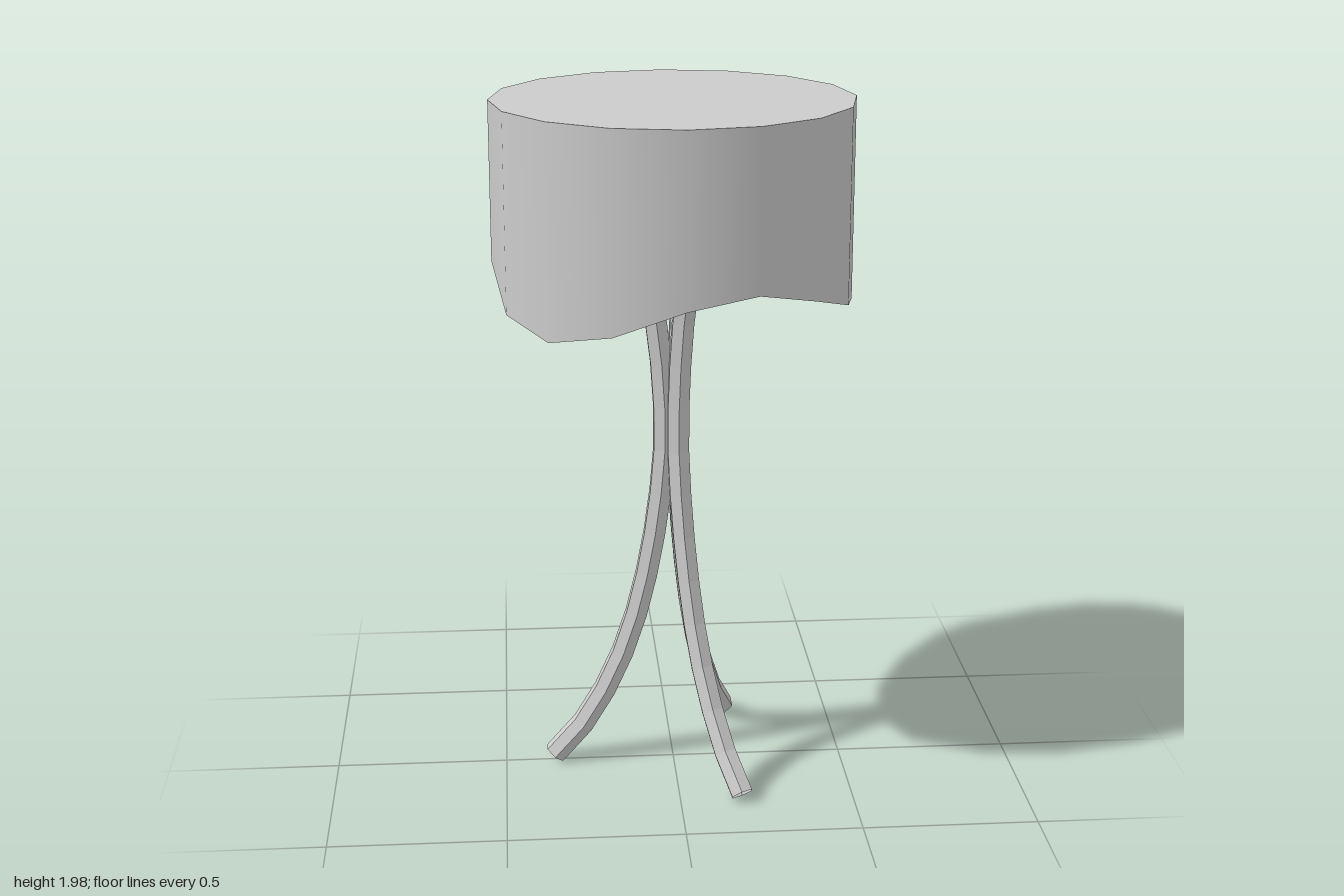
import * as THREE from 'three';

export function createModel() {
  const model = new THREE.Group();
  model.name = 'drapedPedestalTable';
  const clothMat = new THREE.MeshStandardMaterial({ color: 0xcccccc, side: THREE.DoubleSide });
  const legMat = new THREE.MeshStandardMaterial({ color: 0xcccccc, side: THREE.DoubleSide, flatShading: true });
  const SIDES = 16, RADIUS = 0.507, TOP = 2;

  // Flat table top
  const topGeo = new THREE.CircleGeometry(RADIUS, SIDES).rotateX(-Math.PI / 2).translate(0, TOP, 0);
  const top = new THREE.Mesh(topGeo, clothMat);
  top.name = 'tableTop';
  model.add(top);

  // Hanging skirt: hem heights go round from +x towards +z
  const hem = [1.425, 1.455, 1.51, 1.555, 1.525, 1.45, 1.41, 1.445,
    1.55, 1.645, 1.69, 1.66, 1.585, 1.53, 1.49, 1.44];
  const skirtGeo = new THREE.CylinderGeometry(RADIUS, RADIUS, 1, SIDES, 1, true);
  const pos = skirtGeo.attributes.position;
  for (let i = 0; i < pos.count; i++) {
    const step = Math.round(Math.atan2(pos.getZ(i), pos.getX(i)) / (2 * Math.PI) * SIDES);
    pos.setY(i, pos.getY(i) > 0 ? TOP : hem[(step + SIDES) % SIDES]);
  }
  const skirt = new THREE.Mesh(skirtGeo, clothMat);
  skirt.name = 'clothSkirt';
  model.add(skirt);

  // Three bowed tubular legs meeting at mid height: [distance from axis, height]
  const profile = [[0.355, 0.035], [0.26, 0.145], [0.18, 0.29], [0.125, 0.43], [0.08, 0.6], [0.045, 0.8],
    [0.025, 1.02], [0.04, 1.3], [0.075, 1.5], [0.13, 1.66], [0.2, 1.81], [0.3, 1.965]];
  const curve = new THREE.CatmullRomCurve3(profile.map(([r, y]) => new THREE.Vector3(r, y, 0)));
  const legGeo = new THREE.TubeGeometry(curve, 16, 0.035, 6, false);
  const legs = new THREE.Group();
  legs.name = 'legs';
  for (let i = 0; i < 3; i++) {
    const leg = new THREE.Mesh(legGeo, legMat);
    leg.name = 'leg' + (i + 1);
    leg.rotation.y = Math.PI + i * 2 * Math.PI / 3;
    legs.add(leg);
  }
  model.add(legs);
  return model;
}
